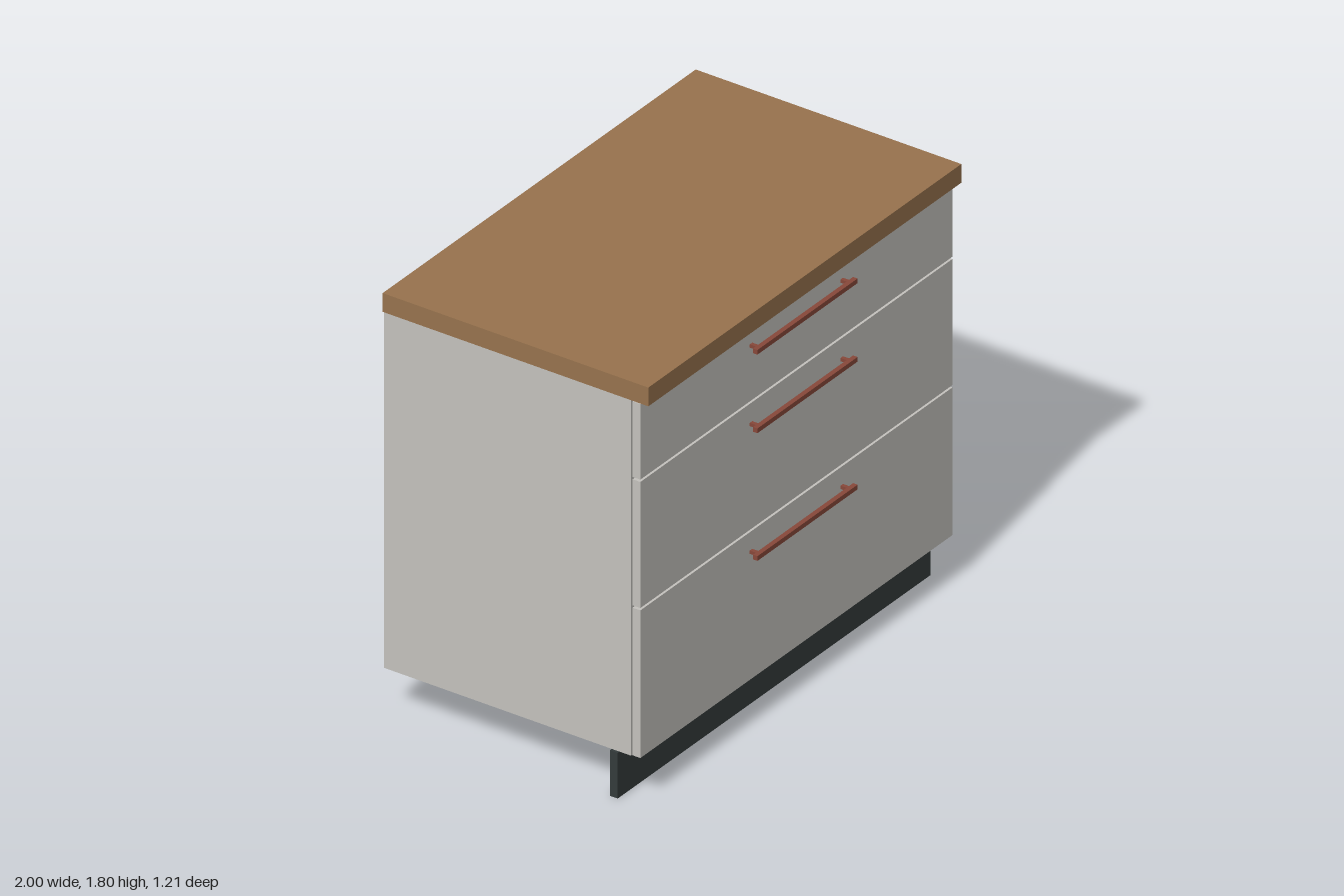
import * as THREE from 'three';

const paint = new THREE.MeshStandardMaterial({ name: 'grey paint', color: 0xc5c3be });
const wood = new THREE.MeshStandardMaterial({ name: 'oak', color: 0x98734e });
const copper = new THREE.MeshStandardMaterial({ name: 'copper', color: 0x88483a });
const dark = new THREE.MeshStandardMaterial({ name: 'charcoal', color: 0x343b3b });

// Box given by its limits on each axis
function slab(parent, name, material, [x0, x1], [y0, y1], [z0, z1]) {
  const mesh = new THREE.Mesh(new THREE.BoxGeometry(x1 - x0, y1 - y0, z1 - z0), material);
  mesh.position.set((x0 + x1) / 2, (y0 + y1) / 2, (z0 + z1) / 2);
  mesh.name = name;
  parent.add(mesh);
}

// Front panel, inner box and bar handle
function createDrawer(name, bottom, top, boxBottom, boxTop, handleY) {
  const drawer = new THREE.Group();
  drawer.name = name;
  slab(drawer, 'drawerFront', paint, [-0.997, 0.997], [bottom, top], [0.52, 0.555]);

  slab(drawer, 'boxFront', paint, [-0.95, 0.95], [boxBottom, boxTop], [0.49, 0.52]);
  slab(drawer, 'boxBack', paint, [-0.95, 0.95], [boxBottom, boxTop], [-0.53, -0.5]);
  slab(drawer, 'boxBase', paint, [-0.92, 0.92], [boxBottom, boxBottom + 0.02], [-0.5, 0.49]);
  for (const [side, x] of [['left', 0.935], ['right', -0.935]]) {
    slab(drawer, side + 'BoxSide', paint, [x - 0.015, x + 0.015], [boxBottom, boxTop], [-0.5, 0.49]);
  }

  slab(drawer, 'handleBar', copper, [-0.32, 0.32], [handleY - 0.01, handleY + 0.01], [0.585, 0.605]);
  for (const [side, x] of [['left', 0.29], ['right', -0.29]]) {
    slab(drawer, side + 'HandlePost', copper, [x - 0.008, x + 0.008],
      [handleY - 0.007, handleY + 0.007], [0.555, 0.585]);
  }
  return drawer;
}

export function createModel() {
  const cabinet = new THREE.Group();
  cabinet.name = 'drawerCabinet';

  // Carcass
  const carcass = new THREE.Group();
  carcass.name = 'carcass';
  slab(carcass, 'leftSide', paint, [0.968, 1], [0.203, 1.72], [-0.6, 0.515]);
  slab(carcass, 'rightSide', paint, [-1, -0.968], [0.203, 1.72], [-0.6, 0.515]);
  slab(carcass, 'bottomPanel', paint, [-0.968, 0.968], [0.203, 0.235], [-0.6, 0.515]);
  slab(carcass, 'backPanel', paint, [-0.968, 0.968], [0.235, 1.72], [-0.595, -0.57]);
  slab(carcass, 'frontRail', paint, [-0.968, 0.968], [1.69, 1.72], [0.35, 0.515]);
  slab(carcass, 'backRail', paint, [-0.968, 0.968], [1.69, 1.72], [-0.57, -0.4]);
  cabinet.add(carcass);

  // Drawers
  cabinet.add(
    createDrawer('topDrawer', 1.393, 1.715, 1.45, 1.65, 1.63),
    createDrawer('middleDrawer', 0.845, 1.383, 0.9, 1.31, 1.295),
    createDrawer('bottomDrawer', 0.205, 0.835, 0.26, 0.7, 0.75),
  );

  // Worktop and plinth
  slab(cabinet, 'worktop', wood, [-1, 1], [1.72, 1.8], [-0.605, 0.593]);
  slab(cabinet, 'plinth', dark, [-1, 1], [0, 0.195], [0.42, 0.455]);
  return cabinet;
}
